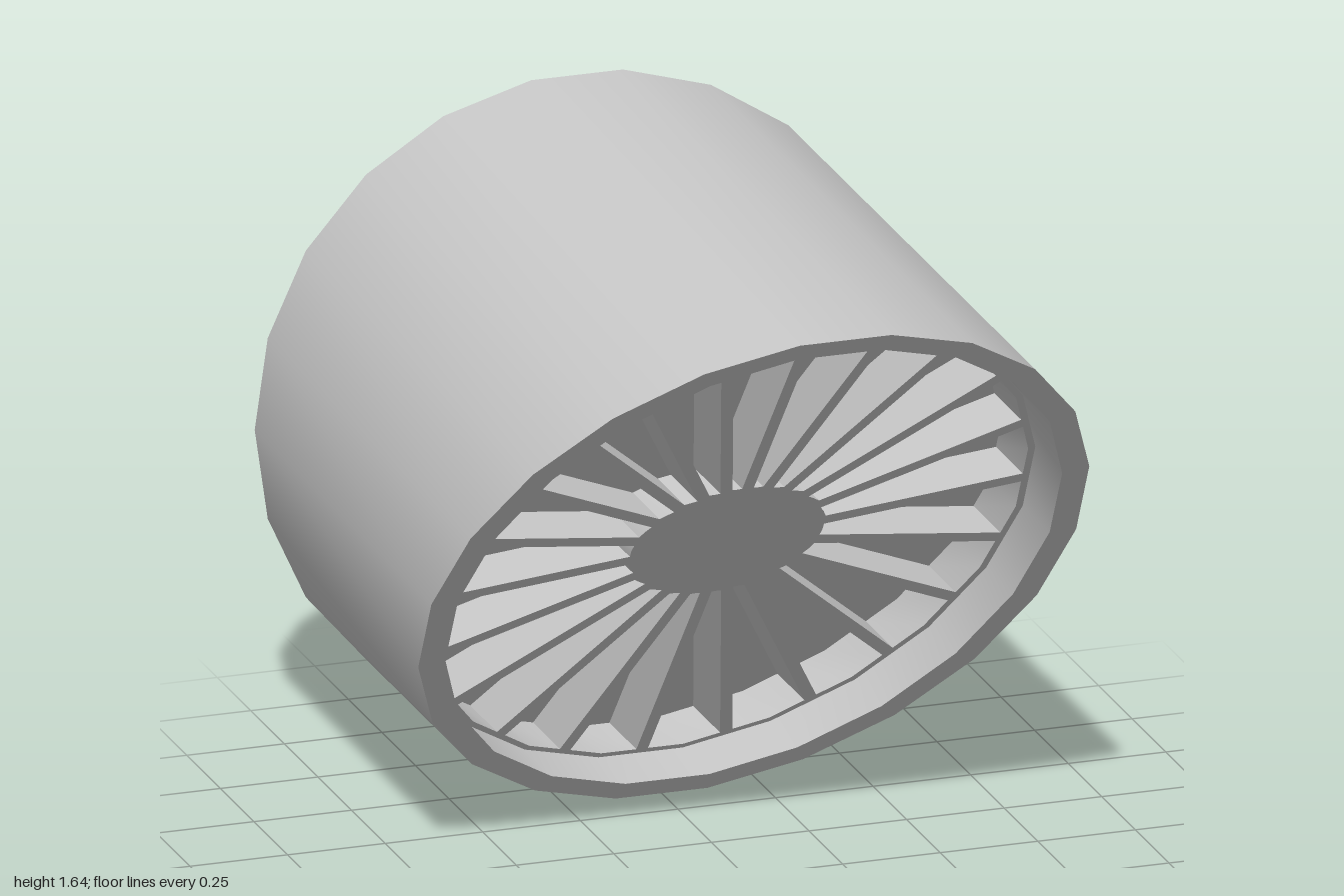
import * as THREE from 'three';
import { toCreasedNormals } from 'three/addons/utils/BufferGeometryUtils.js';

const SIDES = 22;
const STEP = (Math.PI * 2) / SIDES;
const CY = 0.8175;        // height of the axis
const SLOPE = 0.838;      // z gained per unit of y on the slanted mouth
const RECESS = 0.2;       // grille sits this far behind the mouth
const FLOOR = 0.4;        // bottom of the grille pockets
const HALF_SPOKE = 0.015;

// z of the slanted plane, pushed back by depth (y measured from the axis)
const slant = (y, depth) => 0.315 + SLOPE * y - depth;

// Corner of a 22-sided outline with radii rx, ry
const corner = (rx, ry, a) => new THREE.Vector2(rx * Math.cos(a), ry * Math.sin(a));

// Point on the elliptical hub in direction a
function hubPoint(a) {
  const c = Math.cos(a), s = Math.sin(a);
  const r = 1 / Math.hypot(c / 0.245, s / 0.188);
  return new THREE.Vector2(r * c, r * s);
}

// Casing: back cap, outer wall, rim, inner wall and floor as one skin of rings
function casingGeometry() {
  const rings = [
    [0, 0, () => -1],
    [0.826, 0.826, () => -1],
    [0.826, 0.826, (y) => slant(y, 0)],
    [0.758, 0.774, (y) => slant(y, 0)],
    [0.758, 0.774, (y) => slant(y, FLOOR)],
    [0, 0, (y) => slant(y, FLOOR)],
  ];
  const pos = [], index = [];
  rings.forEach(([rx, ry, z], r) => {
    for (let i = 0; i < SIDES; i++) {
      const p = corner(rx, ry, i * STEP);
      pos.push(p.x, p.y, z(p.y));
      if (r === 0) continue;
      const j = (i + 1) % SIDES;
      const a = (r - 1) * SIDES + i, b = (r - 1) * SIDES + j;
      const c = r * SIDES + j, d = r * SIDES + i;
      if (r > 1) index.push(a, b, c);
      if (r < rings.length - 1) index.push(a, c, d);
    }
  });
  // the last ring is a single point, so its triangles are a, b, c only
  const g = new THREE.BufferGeometry();
  g.setAttribute('position', new THREE.Float32BufferAttribute(pos, 3));
  g.setIndex(index);
  return toCreasedNormals(g, 0.7);
}

// Grille: a disc with one pocket between each pair of spokes, sheared to the slant
function grilleGeometry() {
  const outline = [];
  for (let i = 0; i < SIDES; i++) outline.push(corner(0.758, 0.774, i * STEP));
  const shape = new THREE.Shape(outline);

  for (let i = 0; i < SIDES; i++) {
    const a = i * STEP;
    const outer = corner(0.74, 0.76, a);
    // pocket corner beside the spoke on the given side
    const beside = (side, atHub) => {
      const s = a + (side * STEP) / 2;
      const p = atHub
        ? hubPoint(s)
        : corner(0.74, 0.76, a + side * STEP).add(outer).multiplyScalar(0.5);
      const shift = -side * HALF_SPOKE;
      return p.add(new THREE.Vector2(-Math.sin(s) * shift, Math.cos(s) * shift));
    };
    shape.holes.push(new THREE.Path([
      beside(-1, true), hubPoint(a), beside(1, true),
      beside(1, false), outer, beside(-1, false),
    ]));
  }

  const g = new THREE.ExtrudeGeometry(shape, { depth: FLOOR - RECESS, bevelEnabled: false });
  const p = g.attributes.position;
  for (let i = 0; i < p.count; i++) {
    p.setZ(i, p.getZ(i) + slant(p.getY(i), FLOOR));
  }
  return toCreasedNormals(g, 0.4);
}

export function createModel() {
  const group = new THREE.Group();
  group.name = 'slantedVent';
  const material = new THREE.MeshStandardMaterial({ color: 0xcccccc });
  const add = (name, geometry) => {
    const mesh = new THREE.Mesh(geometry, material);
    mesh.name = name;
    mesh.position.y = CY;
    group.add(mesh);
  };
  add('casing', casingGeometry());
  add('spokedGrille', grilleGeometry());
  return group;
}
